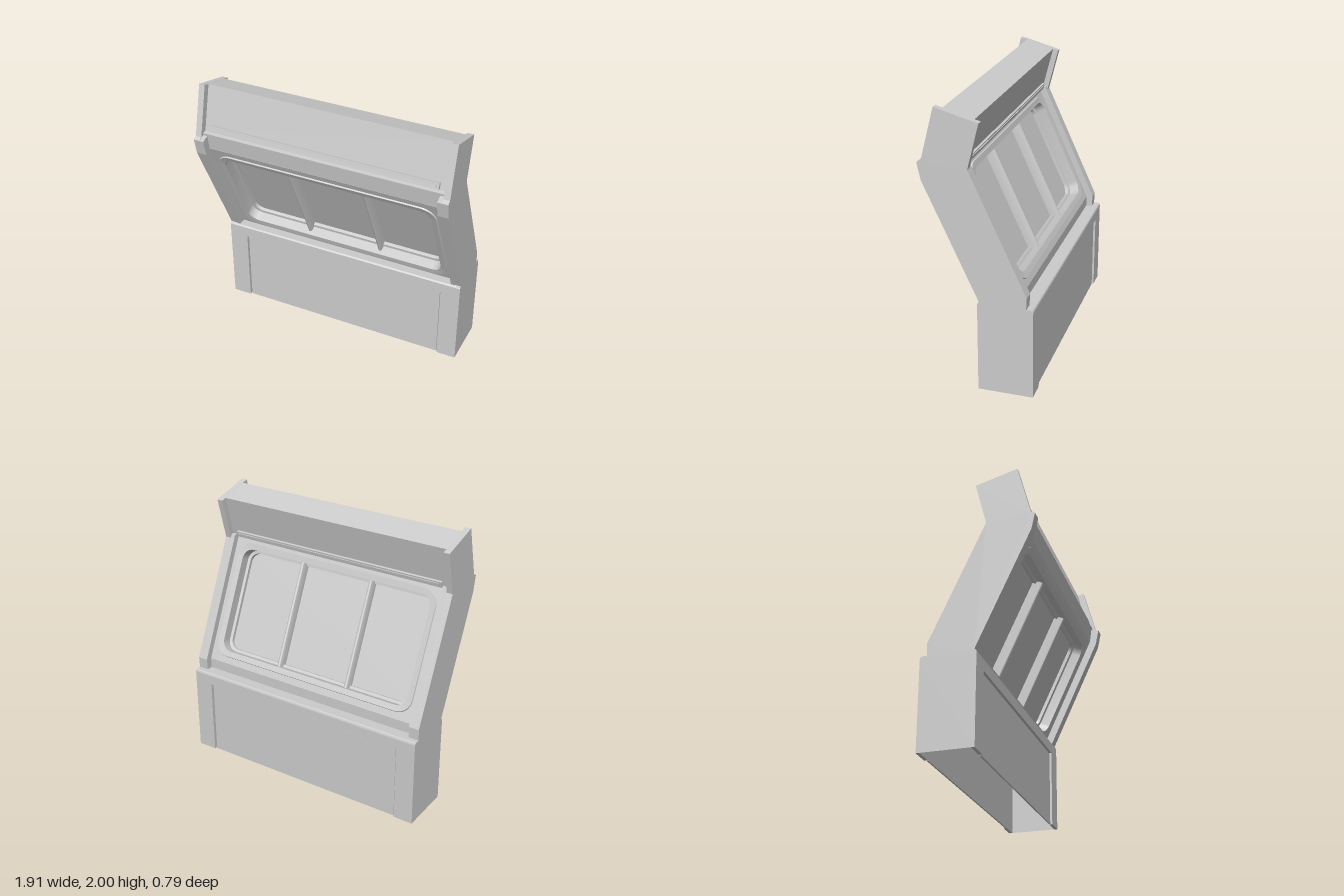
import * as THREE from 'three';
import { toCreasedNormals } from 'three/addons/utils/BufferGeometryUtils.js';

const mat = new THREE.MeshStandardMaterial({ color: 0xcccccc });
const open = new THREE.MeshStandardMaterial({ color: 0xcccccc, side: THREE.DoubleSide });

function add(parent, name, geometry, material = mat) {
  const mesh = new THREE.Mesh(geometry, material);
  mesh.name = name;
  parent.add(mesh);
  return mesh;
}

const polygon = (pts) => new THREE.Shape(pts.map(([a, b]) => new THREE.Vector2(a, b)));

// Side profile of [z, y] points, extruded from x0 to x1
function sideExtrude(pts, x0, x1) {
  return new THREE.ExtrudeGeometry(polygon(pts), { depth: x1 - x0, bevelEnabled: false })
    .rotateY(-Math.PI / 2).translate(x1, 0, 0);
}

// Window outline, shrunk by an inset
const WIN = { w: 0.84, bottom: 0.033, top: 0.909, r: 0.11 };
function windowOutline(inset) {
  const w = WIN.w - inset, b = WIN.bottom + inset, t = WIN.top - inset, r = WIN.r - inset * 0.6;
  const s = new THREE.Shape();
  s.absarc(w - r, t - r, r, 0, Math.PI / 2);
  s.absarc(-w + r, t - r, r, Math.PI / 2, Math.PI);
  s.absarc(-w + r, b + r, r, Math.PI, Math.PI * 1.5);
  s.absarc(w - r, b + r, r, Math.PI * 1.5, Math.PI * 2);
  s.closePath();
  return s;
}

// Surface swept through window outlines, each step being [inset, depth]
function windowLoft(steps) {
  const rings = steps.map(([inset, z]) => {
    const out = [];
    for (const [sx, sy, a0] of [[1, 1, 0], [-1, 1, 1], [-1, -1, 2], [1, -1, 3]]) {
      const r = WIN.r - inset * 0.6;
      const cx = sx * (WIN.w - inset - r);
      const cy = sy > 0 ? WIN.top - inset - r : WIN.bottom + inset + r;
      for (let i = 0; i <= 8; i++) {
        const a = (a0 + i / 8) * Math.PI / 2;
        out.push([cx + r * Math.cos(a), cy + r * Math.sin(a), z]);
      }
    }
    return out;
  });
  const n = rings[0].length, index = [];
  for (let k = 0; k < rings.length - 1; k++) {
    for (let i = 0; i < n; i++) {
      const a = k * n + i, b = k * n + (i + 1) % n;
      index.push(a, b, a + n, b, b + n, a + n);
    }
  }
  const g = new THREE.BufferGeometry();
  g.setAttribute('position', new THREE.Float32BufferAttribute(rings.flat(2), 3));
  g.setIndex(index);
  return toCreasedNormals(g, 0.5);
}

export function createModel() {
  const model = new THREE.Group();
  model.name = 'windowWallSegment';

  // Hollow base, open below: two framed faces with inset panels, side walls and cap
  const base = new THREE.Group();
  base.name = 'base';
  model.add(base);
  const frameShape = polygon([[-0.955, 0], [-0.81, 0], [-0.81, 0.575], [0.81, 0.575],
    [0.81, 0], [0.955, 0], [0.955, 0.645], [-0.955, 0.645]]);
  for (const side of [1, -1]) {
    const face = new THREE.Group();
    face.name = side > 0 ? 'baseFront' : 'baseBack';
    face.position.z = -0.195;
    face.rotation.y = side > 0 ? 0 : Math.PI;
    base.add(face);
    add(face, 'baseFrame', new THREE.ExtrudeGeometry(frameShape, { depth: 0.025, bevelEnabled: false })
      .translate(0, 0, 0.17));
    add(face, 'insetPanel', new THREE.PlaneGeometry(1.62, 0.58).translate(0, 0.29, 0.17), open);
    add(face, 'insetPanelFace', new THREE.BoxGeometry(1.6, 0.565, 0.012).translate(0, 0.2825, 0.176));
    add(base, 'baseSide', new THREE.PlaneGeometry(0.39, 0.645).rotateY(Math.PI / 2)
      .translate(side * 0.955, 0.3225, -0.195), open);
  }
  add(base, 'baseCap', sideExtrude([[0, 0.62], [0, 0.655], [-0.01, 0.665], [-0.375, 0.665],
    [-0.386, 0.66], [-0.39, 0.648], [-0.39, 0.62]], -0.955, 0.955));

  // Bent end pillars: thin full-height outer plate and wider lower plate
  const outer = [[-0.025, 0.64], [-0.005, 0.665], [-0.015, 0.67], [0.37, 1.5], [0.395, 1.62], [0.365, 1.635],
    [0.27, 2], [-0.03, 1.92], [0.05, 1.605], [-0.345, 0.75], [-0.34, 0.64]];
  const inner = [[-0.025, 0.64], [-0.015, 0.67], [0.37, 1.5], [0.395, 1.62], [0.33, 1.64],
    [0.06, 1.63], [0.05, 1.605], [-0.345, 0.75], [-0.34, 0.64]];
  for (const side of [1, -1]) {
    const span = (a, b) => (side > 0 ? [a, b] : [-b, -a]);
    add(model, 'pillarOuter', sideExtrude(outer, ...span(0.91, 0.955)));
    add(model, 'pillarInner', sideExtrude(inner, ...span(0.878, 0.91)));
  }

  // Upper panel with its front lip, and the foot under the slanted wall
  add(model, 'upperPanel', sideExtrude([[0.222, 1.987], [0.307, 1.66], [0.34, 1.655], [0.321, 1.53],
    [0.112, 1.626], [0.087, 1.63], [0.01, 1.93]], -0.91, 0.91));
  add(model, 'wallFoot', sideExtrude([[-0.296, 0.741], [-0.296, 0.63], [-0.09, 0.63], [-0.087, 0.645]],
    -0.88, 0.88));

  // Rails along the bottom of the upper panel
  for (const [name, y, z] of [['frontRail', 1.688, 0.305], ['backRail', 1.645, 0.085]]) {
    const rail = new THREE.Group();
    rail.name = name;
    rail.position.set(0, y, z);
    rail.rotation.x = -0.255;
    add(rail, 'railBody', new THREE.BoxGeometry(1.72, 0.045, 0.036));
    add(rail, 'railStrip', new THREE.BoxGeometry(1.69, 0.022, 0.048));
    model.add(rail);
  }

  // Slanted wall: local y runs up the slope, local z points out of the front
  const T = 0.23;
  const wall = new THREE.Group();
  wall.name = 'slantedWall';
  wall.position.set(0, 0.66, -0.08);
  wall.rotation.x = 0.433;
  model.add(wall);
  const wallShape = polygon([[-0.88, -0.017], [0.88, -0.017], [0.88, 0.958], [-0.88, 0.958]]);
  wallShape.holes.push(windowOutline(0));
  add(wall, 'wallPanel', new THREE.ExtrudeGeometry(wallShape, { depth: T, bevelEnabled: false, curveSegments: 8 })
    .translate(0, 0, -T));

  // Window surround, alike on both faces
  const half = [[0, 0], [0.004, 0.01], [0.045, 0.005], [0.045, -0.07], [0.065, -0.075], [0.065, -0.1]];
  const back = half.map(([i, z]) => [i, -T - z]).reverse();
  add(wall, 'windowFrame', windowLoft([...half, ...back]), open);
  add(wall, 'windowPane', new THREE.ExtrudeGeometry(windowOutline(0.06),
    { depth: 0.03, bevelEnabled: false, curveSegments: 8 }).translate(0, 0, -T / 2 - 0.015));

  // Two mullions with rounded noses standing proud of the pane
  const nose = new THREE.Shape();
  nose.absarc(0, 0.077, 0.0135, 0, Math.PI);
  nose.absarc(0, -0.077, 0.0135, Math.PI, Math.PI * 2);
  nose.closePath();
  for (const x of [-0.29, 0.29]) {
    const g = new THREE.ExtrudeGeometry(nose, { depth: 0.79, bevelEnabled: false, curveSegments: 8 })
      .rotateX(-Math.PI / 2).translate(x, 0.077, -T / 2);
    add(wall, 'mullion', toCreasedNormals(g, 0.6));
  }
  return model;
}
